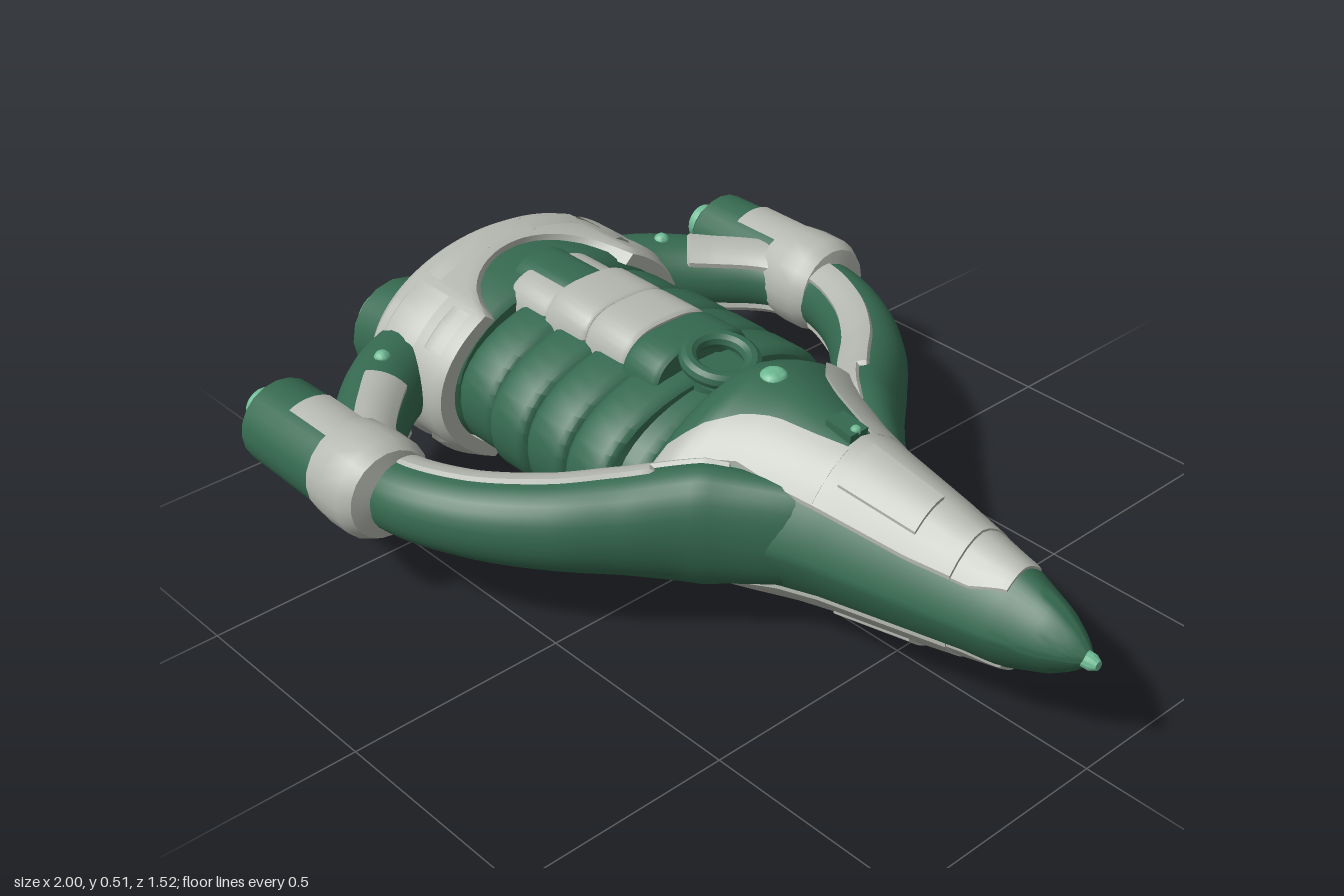
import * as THREE from 'three';
import { toCreasedNormals } from 'three/addons/utils/BufferGeometryUtils.js';

const CY = 0.255, DEG = Math.PI / 180;
const paint = (name, color) => {
  const m = new THREE.MeshStandardMaterial({ color, side: THREE.DoubleSide });
  m.name = name;
  return m;
};

// Linear lookup in a short table of rows [x, a, b, ...] sorted by x
function lookup(rows, x, k = 1) {
  if (x <= rows[0][0]) return rows[0][k];
  for (let i = 1; i < rows.length; i++) {
    const a = rows[i - 1], b = rows[i];
    if (x <= b[0]) return a[k] + (b[k] - a[k]) * (x - a[0]) / (b[0] - a[0]);
  }
  return rows[rows.length - 1][k];
}

// Surface from a rule f(i, j) -> [x, y, z]
function grid(nu, nv, f, flip = false) {
  const pos = [], idx = [];
  for (let i = 0; i <= nu; i++) for (let j = 0; j <= nv; j++) pos.push(...f(i, j));
  for (let i = 0; i < nu; i++) for (let j = 0; j < nv; j++) {
    const a = i * (nv + 1) + j, b = a + nv + 1, c = b + 1, d = a + 1;
    idx.push(...(flip ? [a, d, b, b, d, c] : [a, b, d, b, c, d]));
  }
  const g = new THREE.BufferGeometry();
  g.setAttribute('position', new THREE.Float32BufferAttribute(pos, 3));
  g.setIndex(idx);
  return g;
}

function mirrorZ(g) {
  const m = g.clone().scale(1, 1, -1), ix = m.index.array;
  for (let i = 0; i < ix.length; i += 3) [ix[i], ix[i + 1]] = [ix[i + 1], ix[i]];
  return m;
}

// Superelliptic drum lying along x, with softened ends
function barrel(x0, x1, ry, rz, { n = 2, y = CY, bevel = 0.03, end = 0.86, seg = 40 } = {}) {
  const mid = 1 - (1 - end) * 0.35;
  const rows = [[x0, 0.01], [x0, end], [x0 + bevel * 0.35, mid], [x0 + bevel, 1],
    [x1 - bevel, 1], [x1 - bevel * 0.35, mid], [x1, end], [x1, 0.01]];
  return grid(rows.length - 1, seg, (i, j) => {
    const a = j / seg * Math.PI * 2, c = Math.cos(a), s = Math.sin(a), [x, k] = rows[i];
    return [x, y + ry * k * Math.sign(s) * Math.abs(s) ** (2 / n), rz * k * Math.sign(c) * Math.abs(c) ** (2 / n)];
  });
}

// Turned part along x from [x, radius] pairs
const turned = (pts, y, z, seg = 24) =>
  new THREE.LatheGeometry(pts.map(([x, r]) => new THREE.Vector2(r, x)), seg).rotateZ(-Math.PI / 2).translate(0, y, z);

// Nose hull: x, half width, half height
const HULL = [[-0.04, 0.2, 0.1], [0, 0.27, 0.18], [0.05, 0.33, 0.23], [0.1, 0.33, 0.248], [0.2, 0.262, 0.24],
  [0.3, 0.215, 0.217], [0.4, 0.183, 0.197], [0.6, 0.142, 0.163], [0.8, 0.1, 0.118], [0.9, 0.066, 0.078],
  [0.95, 0.038, 0.045], [0.975, 0.016, 0.018]];
const rise = (c) => Math.max(0, 1 - Math.abs(c) ** 1.7) ** 0.7;
const hullRise = (x, z) => lookup(HULL, x, 2) * rise(Math.min(1, Math.abs(z) / lookup(HULL, x, 1)));

// Armour plate following the hull, side = 1 for the top and -1 for the underside
function plate(x0, x1, zIn, zOut, side, lift = 0.009) {
  const nu = 16, nv = 10;
  return grid(nu, nv, (i, j) => {
    const u = Math.min(Math.max(i - 1, 0), nu - 2) / (nu - 2), v = Math.min(Math.max(j - 1, 0), nv - 2) / (nv - 2);
    const x = x0 + (x1 - x0) * u, a = zIn(x), z = a + (zOut(x) - a) * v;
    const edge = i === 0 || j === 0 || i === nu || j === nv;
    return [x, CY + side * (hullRise(x, z) + (edge ? -0.012 : lift)), z];
  }, side > 0);
}

// Ring arm: centre line x, z and the half width and half height along it
const ARM = [[0.33, 0.12, 0.06, 0.12], [0.17, 0.235, 0.085, 0.14], [0.06, 0.35, 0.09, 0.115], [-0.04, 0.462, 0.087, 0.1],
  [-0.18, 0.567, 0.082, 0.088], [-0.34, 0.625, 0.08, 0.082], [-0.48, 0.605, 0.08, 0.08], [-0.61, 0.505, 0.085, 0.085],
  [-0.72, 0.37, 0.095, 0.1], [-0.77, 0.23, 0.1, 0.11]];
const ARM_SIZE = ARM.map((r, k) => [k, r[2], r[3]]);
const armLine = new THREE.CatmullRomCurve3(ARM.map(([x, z]) => new THREE.Vector3(x, 0.262, z)));
function armStrip(t0, t1, a0, a1, lift, nu, nv) {
  return grid(nu, nv, (i, j) => {
    const t = t0 + (t1 - t0) * i / nu, a = (a0 + (a1 - a0) * j / nv) * DEG;
    const p = armLine.getPoint(t), d = armLine.getTangent(t), f = t * (ARM.length - 1);
    const edge = lift && (i === 0 || j === 0 || i === nu || j === nv);
    const k = edge ? -0.006 : lift;
    const w = (lookup(ARM_SIZE, f, 1) + k) * Math.cos(a), h = (lookup(ARM_SIZE, f, 2) + k) * Math.sin(a);
    return [p.x + d.z * w, p.y + h, p.z - d.x * w];
  }, true);
}

// Rear armour shell on an ellipse, its front edge cut back in an arc near the middle
const arcFront = (z) => -0.565 - 0.165 * Math.sqrt(Math.max(0, 1 - (z / 0.21) ** 2));
function rearShell(x0, front, a0, a1, scale, seg) {
  const rows = [[0, 0, 0.7], [0, 0, 0.93], [0, 0.03, 1], [1, -0.025, 1], [1, 0, 0.965], [1, 0, 0.86]];
  return grid(rows.length - 1, seg, (i, j) => {
    const a = (a0 + (a1 - a0) * j / seg) * DEG, [u, dx, k] = rows[i];
    const z = 0.365 * Math.cos(a), x1 = front(z);
    return [x0 + (x1 - x0) * u + dx, CY - 0.006 + 0.24 * scale * k * Math.sin(a), z * scale * k];
  });
}

export function createModel() {
  const ship = new THREE.Group();
  const green = paint('hullGreen', 0x35694f), grey = paint('armourGrey', 0xb5b8b0), mint = paint('nozzleMint', 0x6cb892);
  const add = (name, g, mat) => {
    const m = new THREE.Mesh(toCreasedNormals(g, 0.6), mat);
    m.name = name;
    ship.add(m);
  };
  const pair = (name, g, mat) => { add(name + 'Left', g, mat); add(name + 'Right', mirrorZ(g), mat); };

  // Nose hull and tip
  add('noseHull', grid(58, 48, (i, j) => {
    const x = -0.04 + 1.015 * i / 58, a = j / 48 * Math.PI * 2, c = Math.cos(a);
    return [x, CY + Math.sign(Math.sin(a)) * lookup(HULL, x, 2) * rise(c), lookup(HULL, x, 1) * c];
  }), green);
  add('noseTip', turned([[0.95, 0], [0.955, 0.018], [0.985, 0.018], [1, 0.01], [1, 0]], 0.25, 0, 12), mint);

  // Nose armour, above and below
  const outer = (x) => lookup([[0.03, 0.3], [0.1, 0.25], [0.2, 0.18], [0.4, 0.137], [0.6, 0.108], [0.74, 0.08], [0.81, 0.05]], x);
  const inner = (x) => lookup([[0.03, 0.26], [0.09, 0.19], [0.16, 0.115], [0.22, 0.082], [0.38, 0.035]], x);
  for (const [side, tag] of [[1, 'upper'], [-1, 'lower']]) {
    pair(tag + 'ShoulderPlate', plate(0.03, 0.38, inner, outer, side), grey);
    add(tag + 'NosePlate', plate(0.375, 0.7, (x) => -outer(x), outer, side), grey);
    add(tag + 'NoseTipPlate', plate(0.702, 0.81, (x) => -outer(x), outer, side, 0.006), grey);
    add(tag + 'NosePanel', plate(0.41, 0.6, () => 0, (x) => 0.1 - (x - 0.4) * 0.1, side, 0.015), grey);
    add(tag + 'Sensor', new THREE.SphereGeometry(0.03, 16, 10).scale(1, 0.5, 1).translate(0.125, CY + side * 0.241, 0), mint);
    add(tag + 'SensorBlock', new THREE.BoxGeometry(0.07, 0.02, 0.05).rotateZ(side * -0.12).translate(0.335, CY + side * 0.213, 0), green);
    add(tag + 'SmallSensor', new THREE.SphereGeometry(0.012, 10, 8).translate(0.36, CY + side * 0.217, 0), mint);
    add(tag + 'RearSensor', new THREE.SphereGeometry(0.022, 12, 8).translate(-0.645, CY + side * 0.195, 0), mint);
  }

  // Ring arms and their stripes
  pair('ringArm', armStrip(0, 1, 0, 360, 0, 70, 28), green);
  for (const [name, t0, t1, a0, a1] of [['shoulderStripe', 0.08, 0.19, 98, 150], ['armStripe', 0.175, 0.56, 84, 140], ['rearStripe', 0.62, 0.82, 72, 150]]) {
    pair(name + 'Upper', armStrip(t0, t1, a0, a1, 0.008, 32, 8), grey);
    pair(name + 'Lower', armStrip(t0, t1, 360 - a1, 360 - a0, 0.008, 32, 8), grey);
  }
  pair('armSensor', new THREE.SphereGeometry(0.02, 12, 8).translate(-0.69, 0.35, 0.41), mint);

  // Ribbed cargo drum
  add('drumCore', barrel(-0.66, 0.02, 0.165, 0.29), green);
  for (let i = 0; i < 4; i++) {
    const x = -0.56 + i * 0.129;
    add('drumRib' + (i + 1), barrel(x, x + 0.128, 0.186, i ? 0.332 : 0.315, { n: 2.2, bevel: 0.022, end: 0.93 }), green);
  }

  // Spine on top
  const spine = { n: 3, y: 0.38, bevel: 0.012, end: 0.95 };
  add('spineFront', barrel(-0.2, -0.09, 0.112, 0.14, spine), green);
  for (const x of [-0.472, -0.336]) add('spineArmour', barrel(x, x + 0.135, 0.117, 0.13, spine), grey);
  add('spineRear', barrel(-0.61, -0.473, 0.1, 0.125, spine), grey);
  add('spineRearPanel', barrel(-0.65, -0.474, 0.108, 0.085, spine), green);

  // Round socket between spine and nose
  add('socketRim', new THREE.TorusGeometry(0.07, 0.02, 10, 28).rotateX(Math.PI / 2).rotateZ(-0.2).translate(-0.035, 0.465, 0), green);
  add('socketFloor', new THREE.CylinderGeometry(0.068, 0.068, 0.1, 24).rotateZ(-0.2).translate(-0.045, 0.385, 0), green);

  // Keel armour underneath
  add('keel', barrel(-0.61, -0.02, 0.11, 0.16, { n: 2.6, y: 0.132, bevel: 0.05 }), grey);
  for (const [x, w] of [[-0.48, 0.15], [-0.32, 0.16], [-0.16, 0.15]])
    pair('keelPanel', new THREE.BoxGeometry(w, 0.012, 0.08).rotateX(-0.1).translate(x, 0.025, 0.045), grey);

  // Rear block with armour shell and raised panels
  add('rearCore', barrel(-0.83, -0.575, 0.212, 0.325, { bevel: 0.04, end: 0.9 }), green);
  add('rearArmour', rearShell(-0.845, arcFront, 0, 360, 1, 96), grey);
  add('rearCap', barrel(-0.885, -0.8, 0.16, 0.2, { n: 2.6 }), green);
  for (const s of [1, -1]) {
    for (const [a0, a1, x0, x1] of [[20, 52, -0.81, -0.68], [28, 50, -0.67, -0.59], [56, 80, -0.82, -0.74]])
      pair('rearPanel', rearShell(x0, () => x1, s * (s > 0 ? a0 : a1), s * (s > 0 ? a1 : a0), 1.03, 8), grey);
  }

  // Main engines
  pair('engine', turned([[-0.965, 0.07], [-0.965, 0.1], [-0.945, 0.122], [-0.87, 0.122], [-0.855, 0.11], [-0.78, 0.11]], 0.247, 0.2, 16), green);
  pair('engineNozzle', turned([[-0.93, 0], [-0.93, 0.045], [-1, 0.06], [-1, 0.073], [-0.94, 0.073]], 0.247, 0.2), mint);

  // Side pods
  pair('pod', turned([[-0.765, 0], [-0.765, 0.075], [-0.74, 0.1], [-0.46, 0.104], [-0.36, 0.09], [-0.34, 0]], 0.27, 0.65, 20), green);
  pair('podCollar', turned([[-0.49, 0.095], [-0.485, 0.112], [-0.43, 0.117], [-0.37, 0.116], [-0.34, 0.1], [-0.33, 0.06]], 0.27, 0.645, 20), grey);
  for (const [name, a] of [['podTopPlate', 65], ['podBottomPlate', 240]])
    pair(name, grid(1, 8, (i, j) => {
      const b = (a + j / 8 * 55) * DEG;
      return [-0.62 + i * 0.14, 0.27 + 0.109 * Math.sin(b), 0.65 + 0.109 * Math.cos(b)];
    }), grey);
  pair('podNozzle', turned([[-0.76, 0], [-0.78, 0.03], [-0.81, 0.034], [-0.81, 0.045], [-0.785, 0.045], [-0.77, 0.036], [-0.75, 0.036]], 0.275, 0.65, 18), mint);

  return ship;
}
